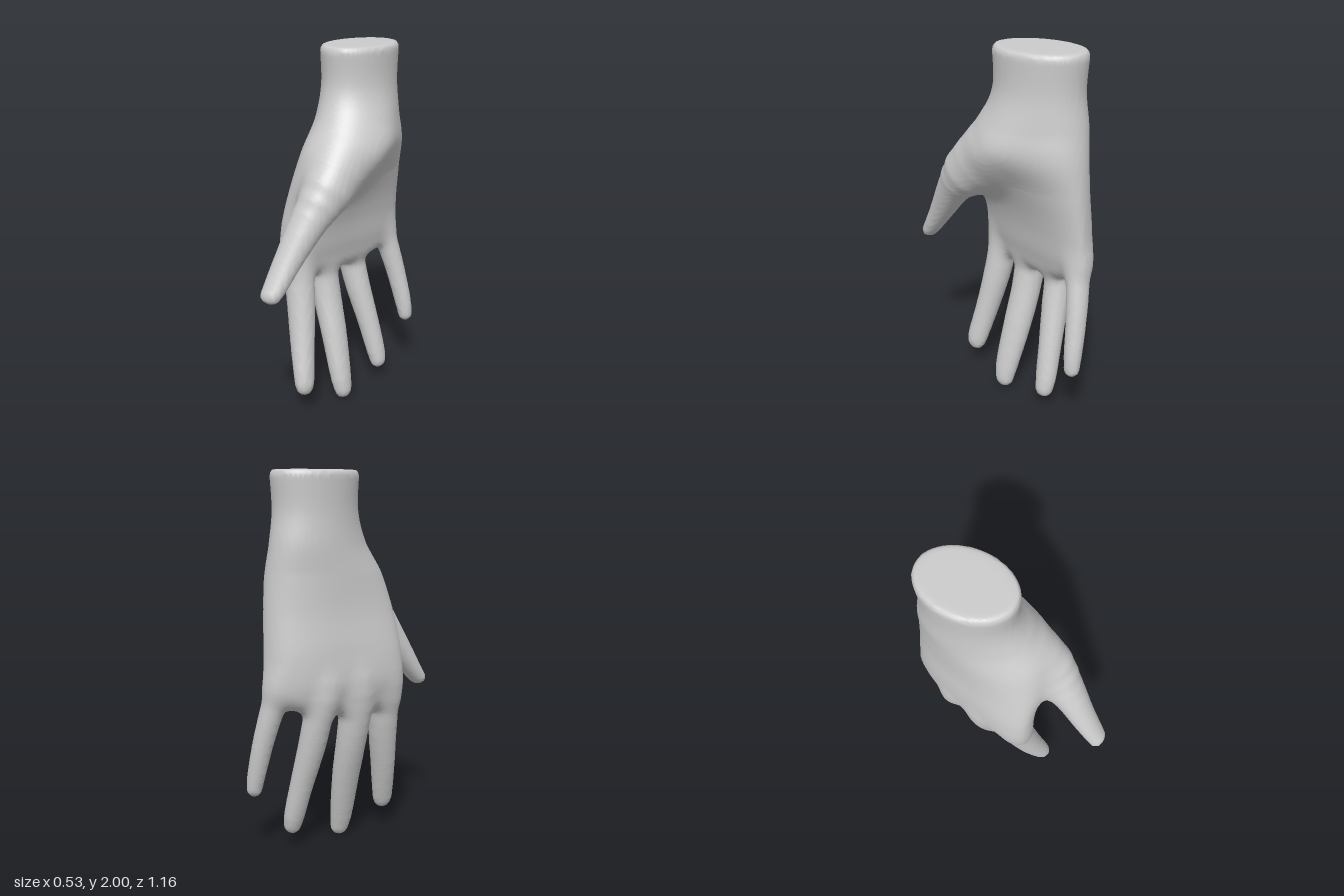
import * as THREE from 'three';

const { clamp, lerp } = THREE.MathUtils;

// Smooth interpolation through rows of numbers, t in 0..1
function sample(rows, t) {
  const f = t * (rows.length - 1), i = Math.min(Math.floor(f), rows.length - 2), s = f - i;
  const at = (k) => rows[clamp(k, 0, rows.length - 1)];
  return rows[0].map((_, c) => {
    const [a, b, d, e] = [at(i - 1)[c], at(i)[c], at(i + 1)[c], at(i + 2)[c]];
    return b + 0.5 * s * (d - a + s * (2 * a - 5 * b + 4 * d - e + s * (3 * (b - d) + e - a)));
  });
}

// Minimum and maximum with a rounded transition of width k
const softMin = (a, b, k) => Math.min(a, b) - Math.max(k - Math.abs(a - b), 0) ** 2 / (4 * k);
const softMax = (a, b, k) => -softMin(-a, -b, k);

// Wrist and palm, rows from top to bottom:
// [y, z centre, z radius, x centre, x slope, back depth, palm depth]
const PALM = [
  [2.0, -0.22, 0.255, 0.003, 0, 0.181, 0.181],
  [1.8, -0.217, 0.247, 0.003, 0, 0.175, 0.178],
  [1.63, -0.2, 0.287, 0.003, 0, 0.183, 0.192],
  [1.48, -0.17, 0.335, -0.01, -0.03, 0.182, 0.21],
  [1.3, -0.16, 0.36, -0.03, -0.06, 0.172, 0.155],
  [1.1, -0.165, 0.367, -0.06, -0.085, 0.163, 0.115],
  [0.93, -0.17, 0.37, -0.075, -0.1, 0.15, 0.092],
  [0.78, -0.17, 0.355, -0.09, -0.1, 0.1, 0.07],
];

// Fingers, rows from root to tip: [x, y, z, half width, half thickness]
const FINGERS = {
  indexFinger: [
    [-0.14, 1.08, 0.08, 0.05, 0.05], [-0.172, 0.92, 0.105, 0.085, 0.08],
    [-0.16, 0.76, 0.118, 0.08, 0.083], [-0.135, 0.6, 0.14, 0.076, 0.078],
    [-0.1, 0.4, 0.18, 0.067, 0.068], [-0.06, 0.21, 0.222, 0.062, 0.053],
    [-0.052, 0.17, 0.228, 0.054, 0.045]],
  middleFinger: [
    [-0.13, 1.08, -0.085, 0.06, 0.06], [-0.163, 0.91, -0.09, 0.088, 0.086],
    [-0.147, 0.75, -0.084, 0.085, 0.085], [-0.11, 0.58, -0.078, 0.083, 0.077],
    [-0.05, 0.37, -0.06, 0.08, 0.067], [0.01, 0.14, -0.035, 0.067, 0.056],
    [0.03, 0.056, -0.032, 0.054, 0.046]],
  ringFinger: [
    [-0.08, 1.06, -0.25, 0.06, 0.06], [-0.115, 0.9, -0.28, 0.08, 0.085],
    [-0.093, 0.75, -0.3, 0.074, 0.078], [-0.05, 0.58, -0.308, 0.072, 0.071],
    [0.01, 0.38, -0.322, 0.064, 0.061], [0.06, 0.2, -0.332, 0.059, 0.053],
    [0.08, 0.128, -0.332, 0.05, 0.045]],
  littleFinger: [
    [-0.02, 1.08, -0.43, 0.04, 0.05], [0.0, 0.95, -0.465, 0.068, 0.068],
    [0.03, 0.83, -0.49, 0.061, 0.065], [0.08, 0.64, -0.518, 0.055, 0.056],
    [0.127, 0.45, -0.533, 0.048, 0.049], [0.143, 0.365, -0.537, 0.042, 0.04]],
  thumb: [
    [0.01, 1.62, -0.1, 0.07, 0.07], [0.065, 1.475, -0.005, 0.14, 0.125],
    [0.075, 1.33, 0.15, 0.14, 0.125], [0.04, 1.185, 0.285, 0.097, 0.1],
    [0.0, 1.01, 0.408, 0.069, 0.078], [-0.023, 0.88, 0.498, 0.05, 0.066],
    [-0.032, 0.83, 0.536, 0.042, 0.058]],
};

// Ball of the thumb: a soft oblong swelling on the palm, running along the thumb
function thumbSwelling(y, z) {
  const along = z * 0.75 - (y - 1.46) * 0.66, across = z * 0.66 + (y - 1.46) * 0.75;
  return 0.08 * Math.exp(-((along / 0.25) ** 2) - (across / 0.17) ** 2);
}

// Distance to the palm: rounded cross-sections, cut flat at the wrist, rounded at the finger webs
function palmDistance(x, y, z) {
  let i = 0;
  while (i < PALM.length - 2 && PALM[i + 1][0] > y) i++;
  const s = clamp((PALM[i][0] - y) / (PALM[i][0] - PALM[i + 1][0]), 0, 1);
  const [, zc, rz, xc, slope, back, palm] = sample(PALM, (i + s) / (PALM.length - 1));
  const u = clamp((z - zc) / rz, -1, 1), dx = x - xc - slope * u;
  const depth = dx < 0 ? back : palm + thumbSwelling(y, z);
  const n = 2 / clamp(1 - (1.5 - y) * 0.6, 0.75, 1);
  const px = Math.abs(dx) / depth + 1e-4, pz = Math.abs(z - zc) / rz + 1e-4;
  const k = (px ** n + pz ** n) ** (1 / n);
  const side = (k - 1) / Math.hypot((px / k) ** (n - 1) / depth, (pz / k) ** (n - 1) / rz);
  const webs = 0.755 + 0.09 * Math.min(u, 0) ** 2 - y;
  return softMax(softMax(side, webs, 0.08), y - 2, 0.03);
}

// Distance to a finger: a chain of tapering rounded segments
function fingerDistance(rows) {
  const steps = 14;
  const chain = Array.from({ length: steps + 1 }, (_, i) => sample(rows, i / steps));
  return (x, y, z) => {
    let best = Infinity;
    for (let i = 0; i < steps; i++) {
      const a = chain[i], b = chain[i + 1];
      const ex = b[0] - a[0], ey = b[1] - a[1], ez = b[2] - a[2];
      const dx = x - a[0], dy = y - a[1], dz = z - a[2];
      const h = clamp((dx * ex + dy * ey + dz * ez) / (ex * ex + ey * ey + ez * ez), 0, 1);
      const w = lerp(a[3], b[3], h), stretch = w / lerp(a[4], b[4], h);
      best = Math.min(best, Math.hypot((dx - ex * h) * stretch, dy - ey * h, dz - ez * h) - w);
    }
    return best;
  };
}

// Net of quads over the zero level of a distance field, inside a box
function skinField(field, min, max, cell) {
  const size = min.map((m, a) => Math.ceil((max[a] - m) / cell) + 1);
  const stride = [1, size[0], size[0] * size[1]];
  const values = new Float32Array(size[0] * size[1] * size[2]);
  const cells = [];
  for (let k = 0, p = 0; k < size[2]; k++)
    for (let j = 0; j < size[1]; j++)
      for (let i = 0; i < size[0]; i++, p++) {
        values[p] = field(min[0] + i * cell, min[1] + j * cell, min[2] + k * cell);
        if (i < size[0] - 1 && j < size[1] - 1 && k < size[2] - 1) cells.push([p, i, j, k]);
      }
  // One vertex per crossed cell, at the mean of its edge crossings
  const positions = [], vertexOf = new Map();
  for (const [p, ...corner] of cells) {
    const sum = [0, 0, 0];
    let count = 0;
    for (let a = 0; a < 3; a++) {
      const b = (a + 1) % 3, c = (a + 2) % 3;
      for (let e = 0; e < 4; e++) {
        const q = p + (e & 1) * stride[b] + (e >> 1) * stride[c];
        const v0 = values[q], v1 = values[q + stride[a]];
        if ((v0 < 0) === (v1 < 0)) continue;
        sum[a] += v0 / (v0 - v1);
        sum[b] += e & 1;
        sum[c] += e >> 1;
        count++;
      }
    }
    if (!count) continue;
    vertexOf.set(p, positions.length / 3);
    positions.push(...sum.map((s, a) => min[a] + (corner[a] + s / count) * cell));
  }
  // One quad per crossed grid edge
  const quads = [];
  for (const p of vertexOf.keys())
    for (let a = 0; a < 3; a++) {
      const inside = values[p] < 0, b = stride[(a + 1) % 3], c = stride[(a + 2) % 3];
      if (inside === (values[p + stride[a]] < 0)) continue;
      const quad = [p, p - b, p - b - c, p - c].map((q) => vertexOf.get(q));
      quads.push(inside ? quad : quad.reverse());
    }
  return { positions, quads };
}

export function createModel() {
  const parts = [{ name: 'wristAndPalm', distance: palmDistance, index: [] }];
  for (const [name, rows] of Object.entries(FINGERS))
    parts.push({ name, distance: fingerDistance(rows), blend: name === 'thumb' ? 0.12 : 0.045, index: [] });

  // All parts flow into one another
  const field = (x, y, z) => parts.slice(1).reduce(
    (d, part) => softMin(d, part.distance(x, y, z), part.blend), palmDistance(x, y, z));
  const { positions, quads } = skinField(field, [-0.32, -0.05, -0.64], [0.32, 2.05, 0.64], 0.0165);

  const whole = new THREE.BufferGeometry();
  whole.setAttribute('position', new THREE.Float32BufferAttribute(positions, 3));
  whole.setIndex(quads.flatMap(([a, b, c, d]) => [a, b, c, a, c, d]));
  whole.computeVertexNormals();

  // Give each quad to the part it lies closest to
  for (const [a, b, c, d] of quads) {
    const point = positions.slice(a * 3, a * 3 + 3);
    const gaps = parts.map((part) => part.distance(...point));
    parts[gaps.indexOf(Math.min(...gaps))].index.push(a, b, c, a, c, d);
  }

  const hand = new THREE.Group();
  hand.name = 'hand';
  const material = new THREE.MeshStandardMaterial({ color: 0xcccccc, side: THREE.DoubleSide });
  for (const { name, index } of parts) {
    const mesh = new THREE.Mesh(whole.clone().setIndex(index).toNonIndexed(), material);
    mesh.name = name;
    hand.add(mesh);
  }
  return hand;
}
